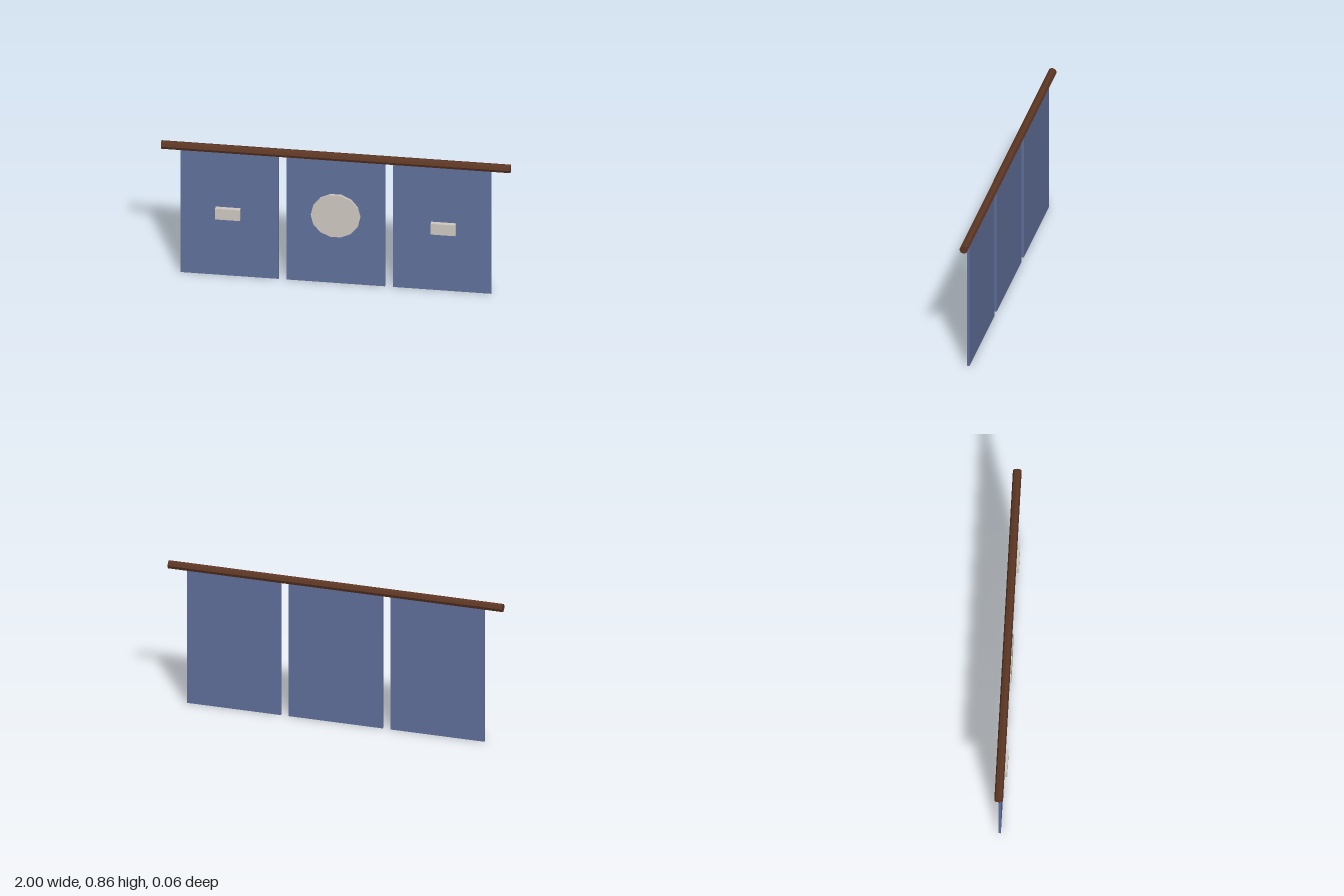
import * as THREE from 'three';

export function createModel() {
  const wood = new THREE.MeshStandardMaterial({ color: 0x5c3623, flatShading: true });
  wood.name = 'dark wood';
  const cloth = new THREE.MeshStandardMaterial({ color: 0x60709c, flatShading: true });
  cloth.name = 'blue cloth';
  const pale = new THREE.MeshStandardMaterial({ color: 0xcdc9c0, flatShading: true });
  pale.name = 'pale cloth';

  const model = new THREE.Group();
  model.name = 'hangingCurtain';
  const add = (name, geometry, material, x, y, z) => {
    const mesh = new THREE.Mesh(geometry, material);
    mesh.name = name;
    mesh.position.set(x, y, z);
    model.add(mesh);
    return mesh;
  };

  // Octagonal pole across the top
  const pole = new THREE.CylinderGeometry(0.025, 0.025, 2, 8).rotateZ(Math.PI / 2);
  add('pole', pole, wood, 0, 0.837, -0.002);

  // Three cloth panels
  const panel = new THREE.BoxGeometry(0.563, 0.815, 0.014);
  ['rightPanel', 'middlePanel', 'leftPanel'].forEach((name, i) =>
    add(name, panel, cloth, (i - 1) * 0.609, 0.4075, -0.002));

  // Round emblem on the middle panel, flat edge at the top
  const disc = new THREE.CylinderGeometry(0.142, 0.142, 0.014, 14)
    .rotateY(Math.PI / 2).rotateX(Math.PI / 2);
  add('disc', disc, pale, 0, 0.454, 0.015);

  // Small blocks on the outer panels
  const block = new THREE.BoxGeometry(0.142, 0.071, 0.025);
  for (const [name, side] of [['rightBlock', -1], ['leftBlock', 1]])
    add(name, block, pale, side * 0.617, 0.418, 0.018);

  return model;
}
